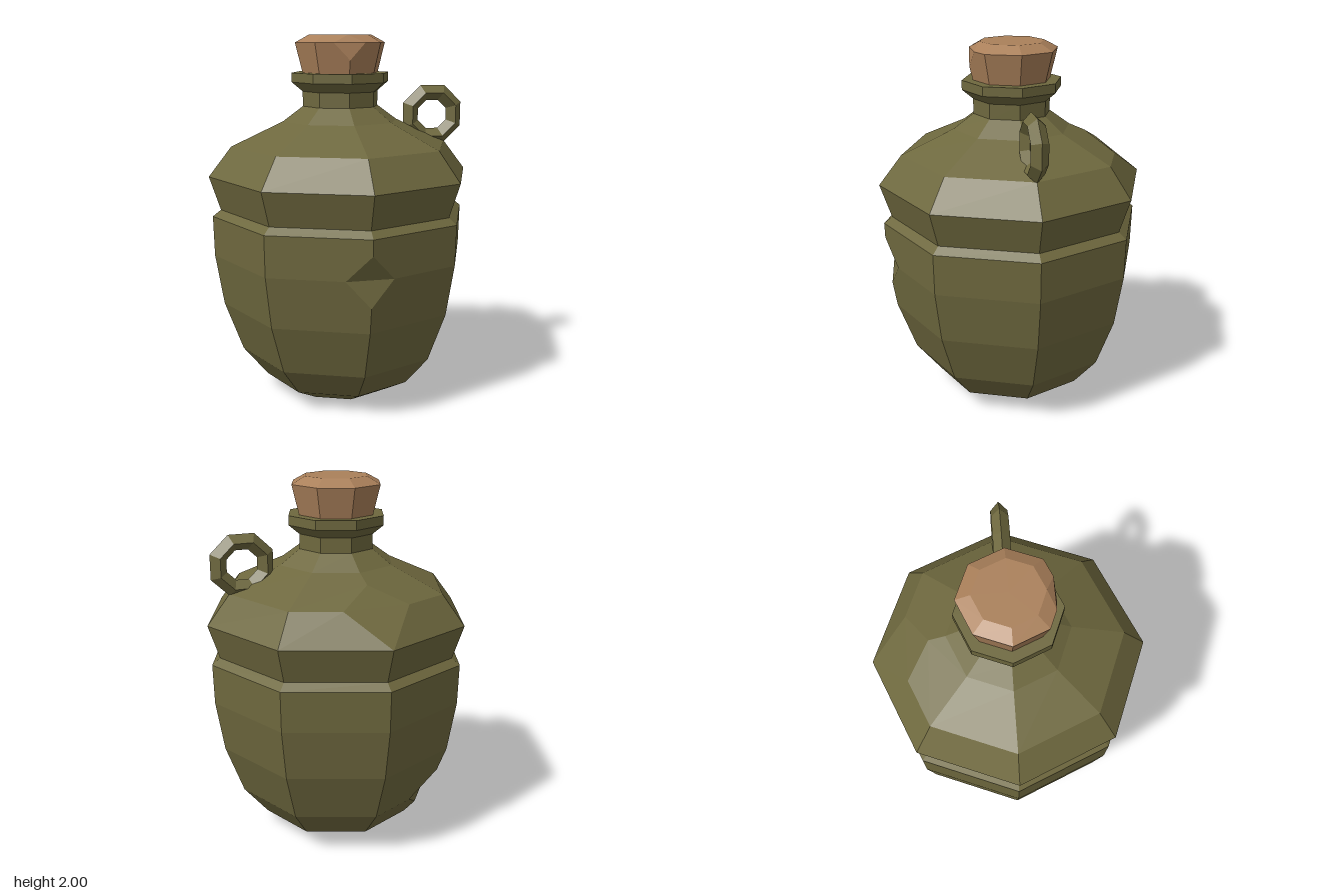
import * as THREE from 'three';

const SIDES = 8;

// Faceted octagonal turning; each chip cuts off one ring vertex:
// { ring, side, up, down, across } with fractions along the adjoining edges.
function chippedLathe(profile, chips = []) {
  const pos = [];
  const point = (i, j) => {
    const a = (j * Math.PI * 2) / SIDES;
    const [r, y] = profile[i];
    return new THREE.Vector3(r * Math.sin(a), y, r * Math.cos(a));
  };
  const triangle = (a, b, c) => {
    const area = b.clone().sub(a).cross(c.clone().sub(a)).length();
    if (area > 1e-7) for (const p of [a, b, c]) pos.push(p.x, p.y, p.z);
  };
  const along = (c, from, to) => {
    const t = to[0] > from[0] ? c.up : to[0] < from[0] ? c.down : c.across;
    return point(...from).lerp(point(...to), t);
  };

  // Walls, with chipped corners replaced by two points
  for (let i = 0; i < profile.length - 1; i++) {
    for (let j = 0; j < SIDES; j++) {
      const corners = [[i, j], [i, j + 1], [i + 1, j + 1], [i + 1, j]];
      const poly = [];
      corners.forEach((v, k) => {
        const chip = chips.find((c) => c.ring === v[0] && c.side === v[1] % SIDES);
        if (chip) {
          poly.push(along(chip, v, corners[(k + 3) % 4]), along(chip, v, corners[(k + 1) % 4]));
        } else poly.push(point(...v));
      });
      for (let k = 1; k < poly.length - 1; k++) triangle(poly[0], poly[k], poly[k + 1]);
    }
  }

  // Chip facets, creased from side to side
  for (const c of chips) {
    const v = [c.ring, c.side];
    const top = along(c, v, [c.ring + 1, c.side]);
    const bottom = along(c, v, [c.ring - 1, c.side]);
    const before = along(c, v, [c.ring, c.side - 1]);
    const after = along(c, v, [c.ring, c.side + 1]);
    triangle(before, after, top);
    triangle(before, bottom, after);
  }

  const geometry = new THREE.BufferGeometry();
  geometry.setAttribute('position', new THREE.Float32BufferAttribute(pos, 3));
  geometry.computeVertexNormals();
  return geometry;
}

export function createModel() {
  const olive = new THREE.MeshStandardMaterial({ color: 0x6e683e });
  olive.name = 'olive glaze';
  const corkBrown = new THREE.MeshStandardMaterial({ color: 0xaa805a });
  corkBrown.name = 'cork brown';

  const model = new THREE.Group();
  model.name = 'jug';
  const add = (name, geometry, material) => {
    const mesh = new THREE.Mesh(geometry, material);
    mesh.name = name;
    model.add(mesh);
    return mesh;
  };

  // Body, shoulder and neck
  add('jugBody', chippedLathe(
    [
      [0, 0], [0.265, 0], [0.43, 0.09], [0.565, 0.255], [0.665, 0.53], [0.71, 0.81],
      [0.715, 1.03], [0.67, 1.065], [0.73, 1.25], [0.605, 1.41], [0.32, 1.54],
      [0.21, 1.62], [0.21, 1.7], [0.27, 1.75], [0.27, 1.8], [0, 1.8],
    ],
    [
      { ring: 5, side: 0, up: 0.62, down: 0.5, across: 0.25 },
      { ring: 9, side: 4, up: 0.68, down: 1, across: 0.42 },
      { ring: 3, side: 5, up: 0.5, down: 0.55, across: 0.37 },
    ],
  ), olive);

  // Stopper
  add('cork', chippedLathe(
    [[0, 1.74], [0.195, 1.74], [0.25, 1.96], [0.175, 2], [0, 2]],
    [{ ring: 2, side: 0, up: 1, down: 0.41, across: 0.48 }],
  ), corkBrown);

  // Finger ring on the shoulder
  const ring = new THREE.TorusGeometry(0.13, 0.045, 4, 8).toNonIndexed();
  ring.rotateZ(Math.PI / 8);
  ring.scale(1.05, 1, 1);
  ring.computeVertexNormals();
  add('handleRing', ring, olive).position.set(0.53, 1.562, 0);

  return model;
}
